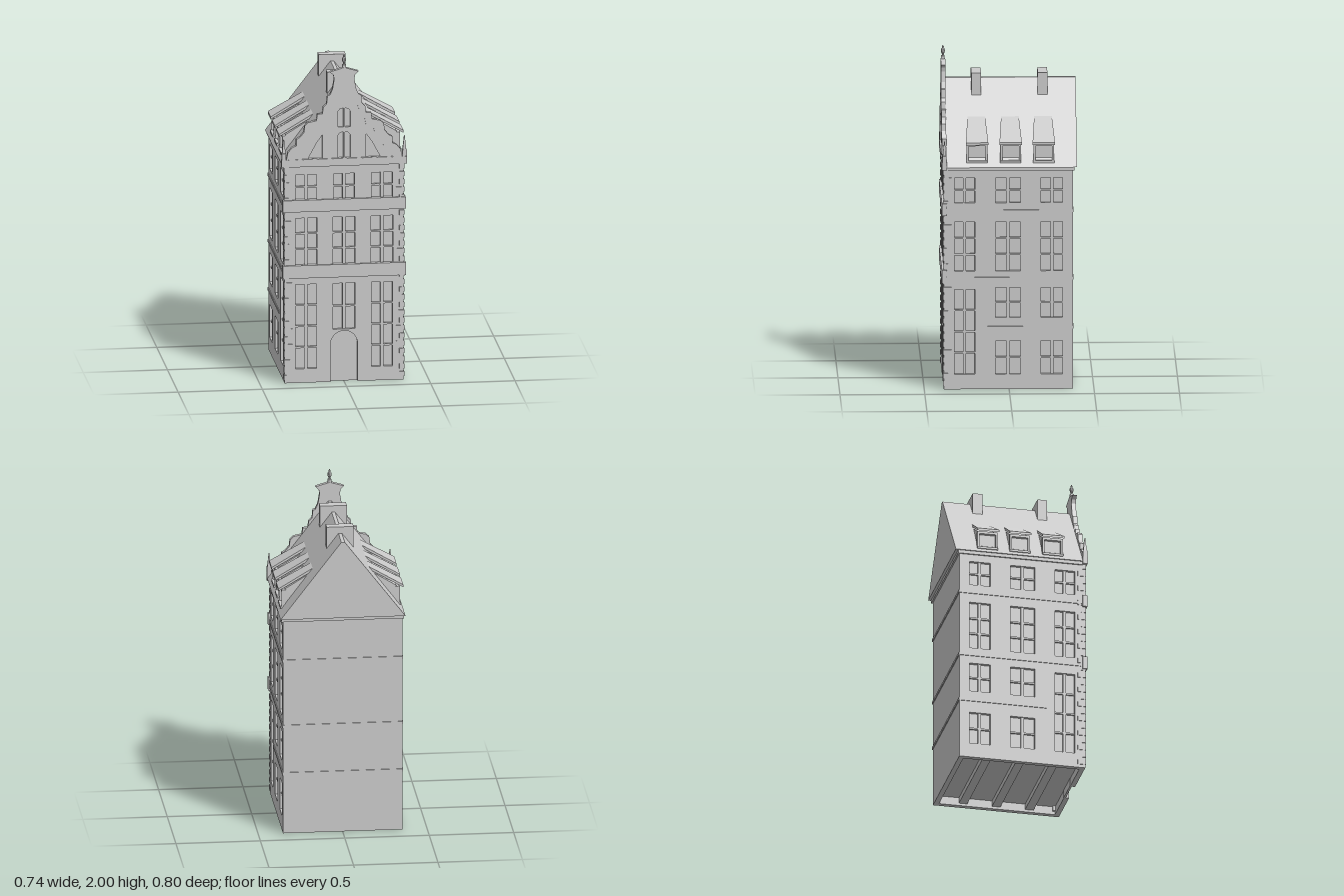
import * as THREE from 'three';
import { ConvexGeometry } from 'three/addons/geometries/ConvexGeometry.js';

const mat = new THREE.MeshStandardMaterial({ color: 0xcccccc, flatShading: true, side: THREE.DoubleSide });

function add(parent, name, geo, x = 0, y = 0, z = 0) {
  const m = new THREE.Mesh(geo, mat);
  m.name = name;
  m.position.set(x, y, z);
  parent.add(m);
  return m;
}

// Box given by its minimum and maximum corners
function box(parent, name, x0, x1, y0, y1, z0, z1) {
  return add(parent, name, new THREE.BoxGeometry(x1 - x0, y1 - y0, z1 - z0),
    (x0 + x1) / 2, (y0 + y1) / 2, (z0 + z1) / 2);
}

const poly = pts => new THREE.Shape(pts.map(p => new THREE.Vector2(p[0], p[1])));
const rect = (x0, x1, y0, y1) => poly([[x0, y0], [x1, y0], [x1, y1], [x0, y1]]);
const mirrored = half => [...half, ...half.filter(p => p[0] > 0).reverse().map(p => [-p[0], p[1]])];
const extrude = (shape, depth) => new THREE.ExtrudeGeometry(shape, { depth, bevelEnabled: false, curveSegments: 10 });

// Wall with its outer face at local z = 0; windows are [centre, width, bottom, top, rows]
function facade(parent, name, shape, windows) {
  const g = new THREE.Group();
  g.name = name;
  for (const [c, w, y0, y1] of windows) shape.holes.push(rect(c - w / 2, c + w / 2, y0, y1));
  add(g, 'wall', extrude(shape, 0.03), 0, 0, -0.03);
  for (const [c, w, y0, y1, rows] of windows) {
    const l = c - w / 2, r = c + w / 2;
    box(g, 'windowPane', l, r, y0, y1, -0.032, -0.02);
    box(g, 'windowMullion', c - 0.009, c + 0.009, y0, y1, -0.02, -0.006);
    for (let i = 1; i < rows; i++) {
      const y = y0 + (y1 - y0) * i / rows;
      box(g, 'windowTransom', l, r, y - 0.005, y + 0.005, -0.02, -0.008);
    }
  }
  parent.add(g);
  return g;
}

function frontWall(parent) {
  const s = new THREE.Shape();
  s.moveTo(-0.353, 0);
  s.lineTo(-0.08, 0);
  s.lineTo(-0.08, 0.23);
  s.absarc(0, 0.23, 0.08, Math.PI, 0, true);
  s.lineTo(0.08, 0);
  s.lineTo(0.353, 0);
  s.lineTo(0.353, 1.335);
  s.lineTo(-0.353, 1.335);
  const windows = [[0, 0.13, 0.32, 0.6, 2]];
  for (const c of [-0.225, 0, 0.225]) {
    if (c) windows.push([c, 0.125, 0.085, 0.6, 4]);
    windows.push([c, 0.13, 0.718, 1.005, 3], [c, 0.125, 1.117, 1.27, 2]);
  }
  const g = facade(parent, 'frontWall', s, windows);
  g.position.z = 0.385;
  box(g, 'door', -0.085, 0.085, 0, 0.315, -0.032, -0.02);
}

function sideWall(parent, side) {
  const u = z => -side * z;
  const windows = [];
  [[0.262, 0.12], [0.006, 0.148], [-0.252, 0.127]].forEach(([z, w], i) => {
    windows.push([u(z), w, 1.12, 1.27, 2], [u(z), w, 0.71, 1.005, 3]);
    if (i === 0) windows.push([u(z), w, 0.09, 0.6, 4]);
    else windows.push([u(z), w, 0.43, 0.61, 2], [u(z), w, 0.09, 0.29, 2]);
  });
  const a = u(-0.375), b = u(0.355);
  const g = facade(parent, 'sideWall', rect(Math.min(a, b), Math.max(a, b), 0, 1.335), windows);
  g.rotation.y = side * Math.PI / 2;
  g.position.x = side * 0.353;
}

// Local +x is outwards
function dormer(parent, side, z) {
  const g = new THREE.Group();
  g.name = 'dormer';
  const pair = (x, y, h) => [new THREE.Vector3(x, y, h), new THREE.Vector3(x, y, -h)];
  add(g, 'dormerBody', new ConvexGeometry([
    ...pair(0.33, 1.36, 0.056), ...pair(0.33, 1.48, 0.056),
    ...pair(0.18, 1.57, 0.05), ...pair(0.2, 1.36, 0.056)]));
  add(g, 'dormerRoof', new ConvexGeometry([
    ...pair(0.37, 1.485, 0.066), ...pair(0.37, 1.47, 0.066),
    ...pair(0.165, 1.602, 0.052), ...pair(0.165, 1.585, 0.052)]));
  for (const s of [-1, 1]) {
    const j = box(g, 'dormerJamb', 0.325, 0.35, 1.365, 1.475, -0.006, 0.006);
    j.position.z = s * 0.055;
  }
  box(g, 'dormerLintel', 0.325, 0.35, 1.46, 1.475, -0.06, 0.06);
  box(g, 'dormerSill', 0.32, 0.358, 1.36, 1.373, -0.062, 0.062);
  g.rotation.y = side > 0 ? 0 : Math.PI;
  g.position.z = z;
  parent.add(g);
}

function gable(parent) {
  const g = new THREE.Group();
  g.name = 'gable';
  const outline = mirrored([[0.345, 1.36], [0.335, 1.41], [0.31, 1.44], [0.285, 1.45], [0.285, 1.49],
    [0.265, 1.5], [0.24, 1.53], [0.235, 1.57], [0.215, 1.59], [0.165, 1.6], [0.16, 1.64], [0.13, 1.64],
    [0.125, 1.68], [0.105, 1.7], [0.1, 1.75], [0.085, 1.755], [0.07, 1.79], [0.06, 1.85], [0.065, 1.875],
    [0.085, 1.895], [0, 1.92]]);
  const inner = mirrored([[0.29, 1.366], [0.27, 1.4], [0.235, 1.43], [0.22, 1.47], [0.185, 1.5],
    [0.175, 1.54], [0.13, 1.56], [0.12, 1.61], [0.1, 1.63], [0.07, 1.71], [0, 1.72]]);
  const panel = poly(outline);
  const border = poly(outline);
  border.holes.push(poly(inner));
  for (const s of [-1, 1]) {
    panel.holes.push(poly([[s * 0.13, 1.367], [s * 0.215, 1.367], [s * 0.165, 1.46], [s * 0.13, 1.51]]));
    // Paired arched lights
    for (const [y0, y1] of [[1.367, 1.525], [1.555, 1.67]])
      panel.holes.push(poly([[s * 0.005, y0], [s * 0.037, y0], [s * 0.037, y1 - 0.02],
        [s * 0.025, y1 - 0.004], [s * 0.005, y1]]));
  }
  add(g, 'gablePanel', extrude(panel, 0.014), 0, 0, 0.373);
  add(g, 'gableBorder', extrude(border, 0.009), 0, 0, 0.386);
  add(g, 'gableBacking', extrude(poly(outline), 0.006), 0, 0, 0.368);
  // Corner obelisks
  for (const s of [-1, 1]) {
    box(g, 'obeliskBase', s * 0.358 - 0.013, s * 0.358 + 0.013, 1.36, 1.405, 0.368, 0.394);
    const o = add(g, 'obelisk', new THREE.CylinderGeometry(0.003, 0.015, 0.085, 4), s * 0.358, 1.447, 0.381);
    o.rotation.y = Math.PI / 4;
  }
  // Top finial
  box(g, 'finialBase', -0.011, 0.011, 1.905, 1.935, 0.371, 0.393);
  const profile = [[0, 1.93], [0.006, 1.935], [0.006, 1.945], [0.012, 1.96], [0.011, 1.975], [0.005, 1.983], [0.006, 1.99], [0, 2]];
  add(g, 'finial', new THREE.LatheGeometry(profile.map(p => new THREE.Vector2(...p)), 8), 0, 0, 0.382);
  parent.add(g);
}

export function createModel() {
  const house = new THREE.Group();
  house.name = 'townHouse';

  // Walls
  frontWall(house);
  box(house, 'backWall', -0.353, 0.353, 0, 1.335, -0.375, -0.345);
  for (const s of [-1, 1]) sideWall(house, s);

  // Ground floor deck with joists beneath
  box(house, 'floorDeck', -0.325, 0.325, 0.05, 0.06, -0.35, 0.356);
  for (const z of [-0.2, 0, 0.2]) box(house, 'floorJoist', -0.325, 0.325, 0.015, 0.05, z - 0.025, z + 0.025);

  // Front bands and cornice
  for (const [y0, y1, x] of [[0.64, 0.718, 0.365], [1.045, 1.117, 0.365], [1.32, 1.365, 0.372]])
    box(house, 'frontBand', -x, x, y0, y1, 0.367, 0.396);

  // Thin string courses around the sides and back
  for (const y of [0.665, 1.07]) box(house, 'stringCourse', -0.358, 0.358, y - 0.008, y + 0.008, -0.38, 0.37);
  box(house, 'lowStringCourse', -0.358, 0.358, 0.362, 0.378, -0.38, 0.15);
  box(house, 'eavesMoulding', -0.362, 0.362, 1.315, 1.336, -0.384, 0.37);

  // Corner quoins
  for (let i = 0, y = 0.02; y < 1.29; i++, y += 0.047) {
    const d = i % 2 ? 0.03 : 0.05;
    for (const s of [-1, 1]) {
      const q = box(house, 'quoin', -d / 2, d / 2, y, y + 0.03, 0.389 - d, 0.389);
      q.position.x = s * (0.357 - d / 2);
    }
  }

  // Roof, dormers and chimneys
  add(house, 'roof', extrude(poly([[-0.37, 1.335], [0.37, 1.335], [0.01, 1.805], [-0.01, 1.805]]), 0.77), 0, 0, -0.4);
  for (const s of [-1, 1]) for (const z of [0.189, -0.009, -0.204]) dormer(house, s, z);
  for (const z of [0.187, -0.204]) box(house, 'chimney', -0.08, 0.08, 1.71, 1.845, z - 0.029, z + 0.029);

  gable(house);
  return house;
}
